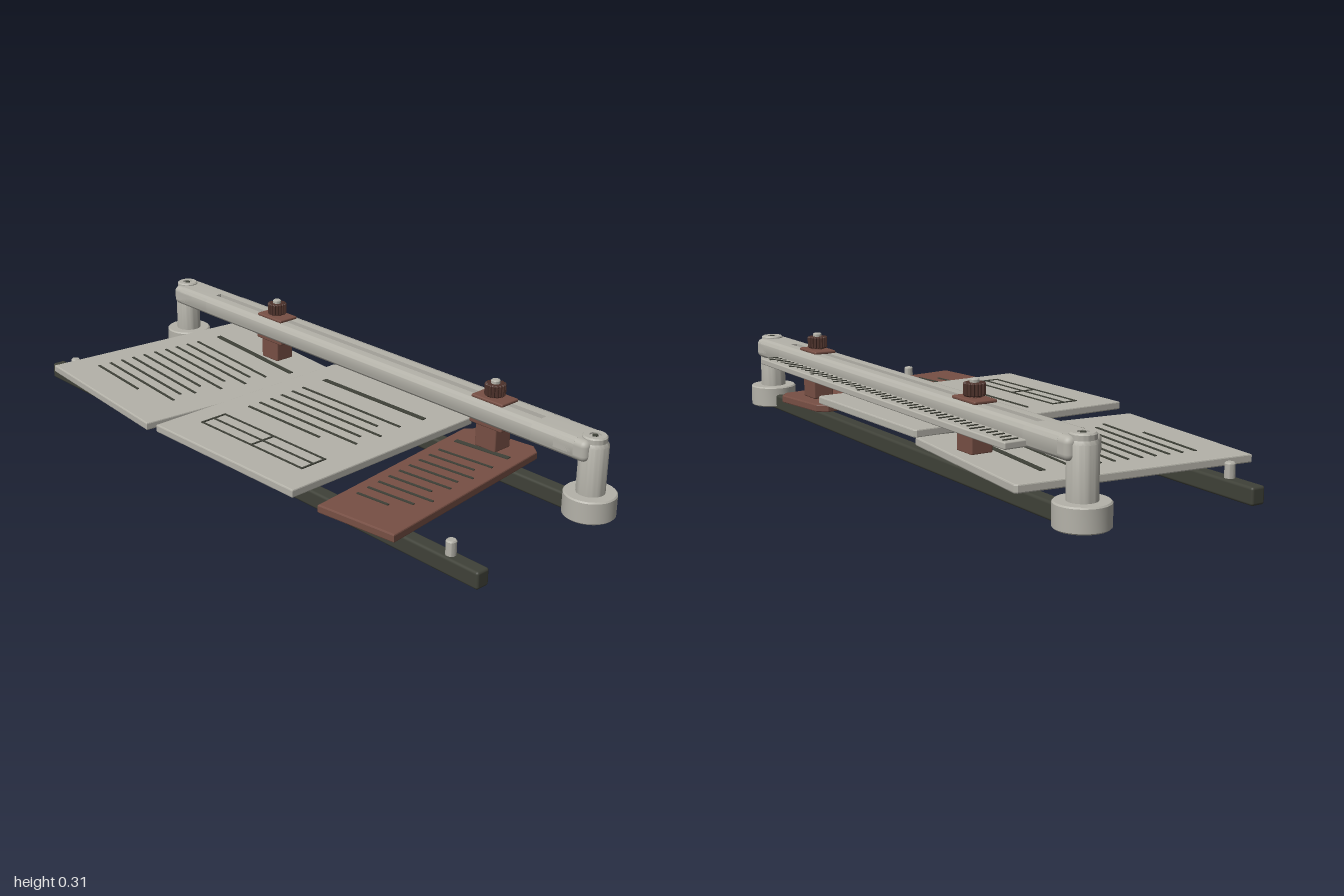
import * as THREE from 'three';
import { toCreasedNormals } from 'three/addons/utils/BufferGeometryUtils.js';
import { RoundedBoxGeometry } from 'three/addons/geometries/RoundedBoxGeometry.js';

const mat = (name, color) => Object.assign(new THREE.MeshStandardMaterial({ color }), { name });

export function createModel() {
  const root = new THREE.Group();
  root.name = 'panelRack';
  const pale = mat('pale grey', 0xb4b2a9);
  const rust = mat('rust brown', 0x774f44);
  const dark = mat('dark olive', 0x3f4138);
  const knobBrown = mat('knob brown', 0x4c312a);
  const POST_X = 0.92, BAR_Z = -0.288;

  const add = (parent, name, geo, material, x = 0, y = 0, z = 0) => {
    const m = new THREE.Mesh(geo, material);
    m.name = name;
    m.position.set(x, y, z);
    parent.add(m);
    return m;
  };
  const rbox = (w, h, d, r) => new RoundedBoxGeometry(w, h, d, 3, r);
  // Round part turned from [radius, height] points
  const turned = (pts) => toCreasedNormals(
    new THREE.LatheGeometry(pts.map(([r, y]) => new THREE.Vector2(r, y)), 36), 0.6);

  // Ground rails and locating pegs
  add(root, 'frontRail', rbox(1.98, 0.052, 0.046, 0.008), dark, 0, 0.026, 0.239);
  add(root, 'rearRail', rbox(1.9, 0.052, 0.046, 0.008), dark, 0, 0.026, BAR_Z);
  const peg = turned([[0, 0], [0.015, 0], [0.015, 0.042], [0.012, 0.046], [0, 0.046]]);
  for (const s of [-1, 1]) add(root, 'peg', peg, pale, s * 0.876, 0.05, 0.239);

  // End posts: wide foot, column, cap washer and screw
  const post = turned([[0, 0.008], [0.073, 0.008], [0.077, 0.012], [0.077, 0.074], [0.073, 0.078],
    [0.042, 0.078], [0.042, 0.224], [0.036, 0.234], [0, 0.234]]);
  const cap = turned([[0, 0.23], [0.036, 0.23], [0.036, 0.248], [0.032, 0.252], [0.016, 0.252],
    [0.016, 0.247], [0, 0.247]]);
  for (const s of [-1, 1]) {
    add(root, 'post', post, pale, s * POST_X, 0, BAR_Z);
    add(root, 'postCap', cap, pale, s * POST_X, 0, BAR_Z);
    add(root, 'postScrew', new THREE.CylinderGeometry(0.008, 0.008, 0.006, 12), dark, s * POST_X, 0.249, BAR_Z);
  }

  // Slotted cross bar: two half profiles beside the slot, solid ends
  const BAR_H = 0.065, HALF = 0.057, R = 0.019, SLOT = 0.011;
  const half = new THREE.Shape();
  half.moveTo(0, 0);
  half.lineTo(HALF - R, 0);
  half.absarc(HALF - R, R, R, -Math.PI / 2, 0);
  half.absarc(HALF - R, BAR_H - R, R, 0, Math.PI / 2);
  half.lineTo(0, BAR_H);
  const slotted = new THREE.Shape();
  slotted.moveTo(SLOT, 0);
  slotted.lineTo(HALF - R, 0);
  slotted.absarc(HALF - R, R, R, -Math.PI / 2, 0);
  slotted.absarc(HALF - R, BAR_H - R, R, 0, Math.PI / 2);
  slotted.lineTo(SLOT, BAR_H);
  const run = (shape, length) => toCreasedNormals(
    new THREE.ExtrudeGeometry(shape, { depth: length, bevelEnabled: false, curveSegments: 6 })
      .translate(0, 0, -length / 2).rotateY(Math.PI / 2), 0.6);
  const bar = new THREE.Group();
  bar.name = 'crossBar';
  bar.position.set(0, 0.18, BAR_Z);
  root.add(bar);
  for (const turn of [0, Math.PI]) {
    add(bar, 'barSide', run(slotted, 1.48), pale).rotation.y = turn;
    for (const s of [-1, 1]) add(bar, 'barEndHalf', run(half, 0.15), pale, s * 0.815).rotation.y = turn;
  }
  for (const s of [-1, 1])
    add(bar, 'barEnd', rbox(0.13, BAR_H, HALF * 2, R), pale, s * 0.867, BAR_H / 2, 0);

  // Graduated ledge behind the bar
  add(root, 'ledge', rbox(1.5, 0.02, 0.085, 0.004), pale, -0.005, 0.196, -0.3675);
  for (let i = 0; i < 47; i++) {
    const long = i % 5 === 0;
    const d = long ? 0.046 : 0.034;
    add(root, 'tick', new THREE.BoxGeometry(0.006, 0.003, d), dark, -0.7335 + i * 0.0317, 0.207, -0.355 - d / 2);
  }

  // Sliding clamps with fluted knobs
  const flute = new THREE.Shape();
  for (let i = 0; i < 72; i++) {
    const a = (i / 72) * Math.PI * 2, r = i % 4 < 2 ? 0.032 : 0.028;
    flute[i ? 'lineTo' : 'moveTo'](Math.cos(a) * r, Math.sin(a) * r);
  }
  const knob = new THREE.ExtrudeGeometry(flute, {
    depth: 0.032, bevelSize: 0.003, bevelOffset: -0.003, bevelThickness: 0.003, bevelSegments: 1,
  }).rotateX(-Math.PI / 2);
  for (const [x, foot] of [[-0.42, 0.1], [0.556, 0.093]]) {
    const clamp = new THREE.Group();
    clamp.name = 'clamp';
    clamp.position.set(x, 0, BAR_Z);
    root.add(clamp);
    add(clamp, 'clampStem', rbox(0.08, 0.18 - foot, 0.07, 0.005), rust, 0, (0.18 + foot) / 2, 0);
    add(clamp, 'clampLowerPlate', rbox(0.125, 0.016, 0.076, 0.004), rust, 0, 0.173, 0);
    add(clamp, 'clampTopPlate', rbox(0.12, 0.01, 0.074, 0.004), rust, 0, 0.249, 0);
    add(clamp, 'knobNeck', new THREE.CylinderGeometry(0.02, 0.02, 0.012, 24), rust, 0, 0.256, 0);
    add(clamp, 'knob', knob, knobBrown, 0, 0.261, 0);
    add(clamp, 'knobScrew', turned([[0, 0.16], [0.009, 0.16], [0.009, 0.296], [0.014, 0.296],
      [0.014, 0.304], [0.011, 0.307], [0, 0.307]]), pale);
  }

  // Flat panels with ruled lines; cut trims the back corners
  const panel = (name, material, w, d, x, y, z, angle, cut) => {
    const g = new THREE.Group();
    g.name = name;
    g.position.set(x, y, z);
    g.rotation.y = angle;
    root.add(g);
    const a = w / 2, b = d / 2;
    const shape = new THREE.Shape([[-a, -b], [a, -b], [a, b - cut], [a - cut, b], [cut - a, b], [-a, b - cut]]
      .map(([px, py]) => new THREE.Vector2(px, py)));
    const geo = new THREE.ExtrudeGeometry(shape, {
      depth: 0.017, bevelSize: 0.004, bevelOffset: -0.004, bevelThickness: 0.004, bevelSegments: 2,
    }).rotateX(-Math.PI / 2).translate(0, 0.004, 0);
    add(g, 'sheet', geo, material);
    const line = (x0, lineZ, length, thick = 0.008) =>
      add(g, 'line', new THREE.BoxGeometry(length, 0.003, thick), dark, x0 + length / 2, 0.0262, lineZ);
    return line;
  };

  const left = panel('rightHandPanel', pale, 0.612, 0.737, -0.518, 0.077, -0.003, -0.096, 0.008);
  left(-0.21, -0.235, 0.44, 0.017);
  [0.42, 0.39, 0.43, 0.37, 0.42, 0.36, 0.4, 0.38, 0.41, 0.26]
    .forEach((len, i) => left(-0.21, -0.146 + i * 0.044, len));

  const mid = panel('middlePanel', pale, 0.61, 0.755, 0.12, 0.1, 0.025, 0.0175, 0.008);
  mid(-0.22, -0.247, 0.44, 0.017);
  [0.43, 0.38, 0.44, 0.4, 0.43, 0.32].forEach((len, i) => mid(-0.22, -0.15 + i * 0.046, len));
  // Ruled table on the middle panel
  for (const z of [0.175, 0.22, 0.265]) mid(-0.225, z, 0.45, 0.006);
  for (const x of [-0.225, 0, 0.219]) mid(x, 0.22, 0.006, 0.09);

  const small = panel('leftHandPanel', rust, 0.264, 0.72, 0.582, 0.068, -0.012, 0.122, 0.03);
  small(-0.095, -0.235, 0.19, 0.017);
  [0.19, 0.16, 0.19, 0.17, 0.18, 0.15, 0.19, 0.16, 0.11]
    .forEach((len, i) => small(-0.095, -0.15 + i * 0.048, len));

  return root;
}
